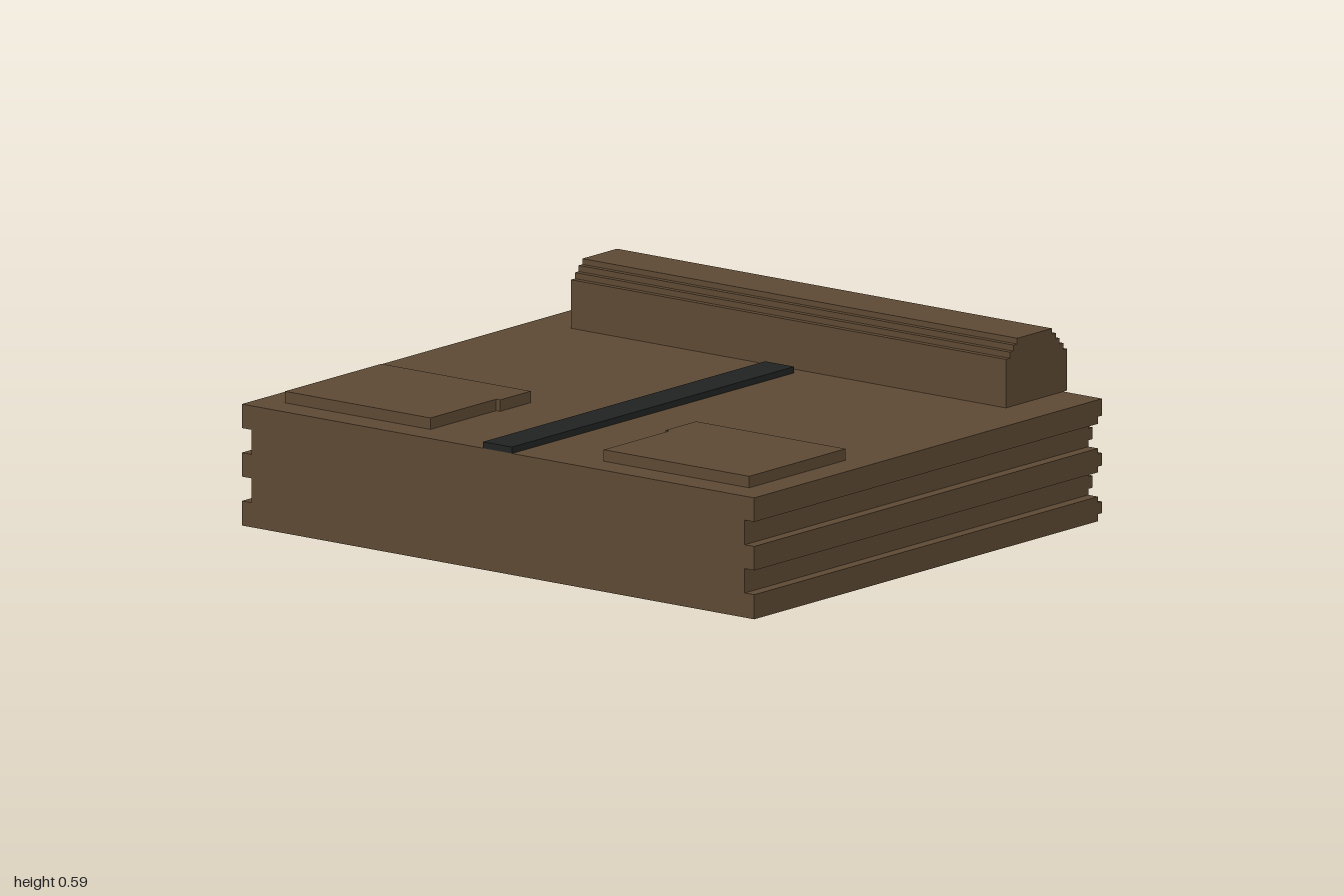
import * as THREE from 'three';

export function createModel() {
  const model = new THREE.Group();
  const brown = new THREE.MeshStandardMaterial({ color: 0x5e4a34 });
  brown.name = 'brown';
  const black = new THREE.MeshStandardMaterial({ color: 0x212323 });
  black.name = 'black';

  const add = (name, geometry, material) => {
    const mesh = new THREE.Mesh(geometry, material);
    mesh.name = name;
    model.add(mesh);
    return mesh;
  };
  const block = (name, x0, x1, y0, y1, z0, z1, material = brown) =>
    add(name, new THREE.BoxGeometry(x1 - x0, y1 - y0, z1 - z0), material)
      .position.set((x0 + x1) / 2, (y0 + y1) / 2, (z0 + z1) / 2);
  const extrude = (points, depth) => new THREE.ExtrudeGeometry(
    new THREE.Shape(points.map(([x, y]) => new THREE.Vector2(x, y))),
    { depth, bevelEnabled: false });

  // Slab with two grooves along each side
  const top = 0.38, back = -0.82, front = 0.855;
  const side = [[1, 0], [1, 0.077], [0.963, 0.077], [0.963, 0.153], [1, 0.153],
    [1, 0.228], [0.963, 0.228], [0.963, 0.305], [1, 0.305], [1, top]];
  const mirrored = side.map(([x, y]) => [-x, y]).reverse();
  add('body', extrude([...side, ...mirrored], front - back), brown).position.z = back;

  // Horizontal ribs on the back, shorter where the side is grooved
  const ribs = [[0.022, 0.058, 1], [0.096, 0.134, 0.963], [0.171, 0.21, 1],
    [0.248, 0.285, 0.963], [0.327, top, 1]];
  for (const [y0, y1, w] of ribs) block('backRib', -w, w, y0, y1, -0.84, back);

  // Raised rear bar with stepped upper edges, profile in (z, y)
  const profile = [[-0.857, top], [-0.56, top], [-0.56, 0.532], [-0.579, 0.532],
    [-0.579, 0.551], [-0.597, 0.551], [-0.597, 0.57], [-0.615, 0.57], [-0.615, 0.588],
    [-0.784, 0.588], [-0.784, 0.57], [-0.803, 0.57], [-0.803, 0.551], [-0.821, 0.551],
    [-0.821, 0.532], [-0.84, 0.532], [-0.84, 0.511], [-0.857, 0.511]];
  const bar = add('rearBar', extrude(profile.map(([z, y]) => [-z, y]), 1.698), brown);
  bar.rotation.y = Math.PI / 2;
  bar.position.x = -0.849;

  // Dark centre strip
  block('centreStrip', -0.059, 0.054, top, 0.4, -0.52, front, black);

  // Raised pads, each with a small tab on its inner edge
  for (const s of [1, -1]) {
    const outline = [[0.338, 0.29], [0.906, 0.29], [0.906, 0.76], [0.338, 0.76]];
    const tab = [[0.338, 0.44], [0.323, 0.44], [0.323, 0.29]];
    const pad = add(s > 0 ? 'leftPad' : 'rightPad',
      extrude([...outline, ...tab].map(([x, z]) => [s * x, -z]), 0.036), brown);
    pad.rotation.x = -Math.PI / 2;
    pad.position.set(-0.002, top, 0);
  }
  return model;
}
